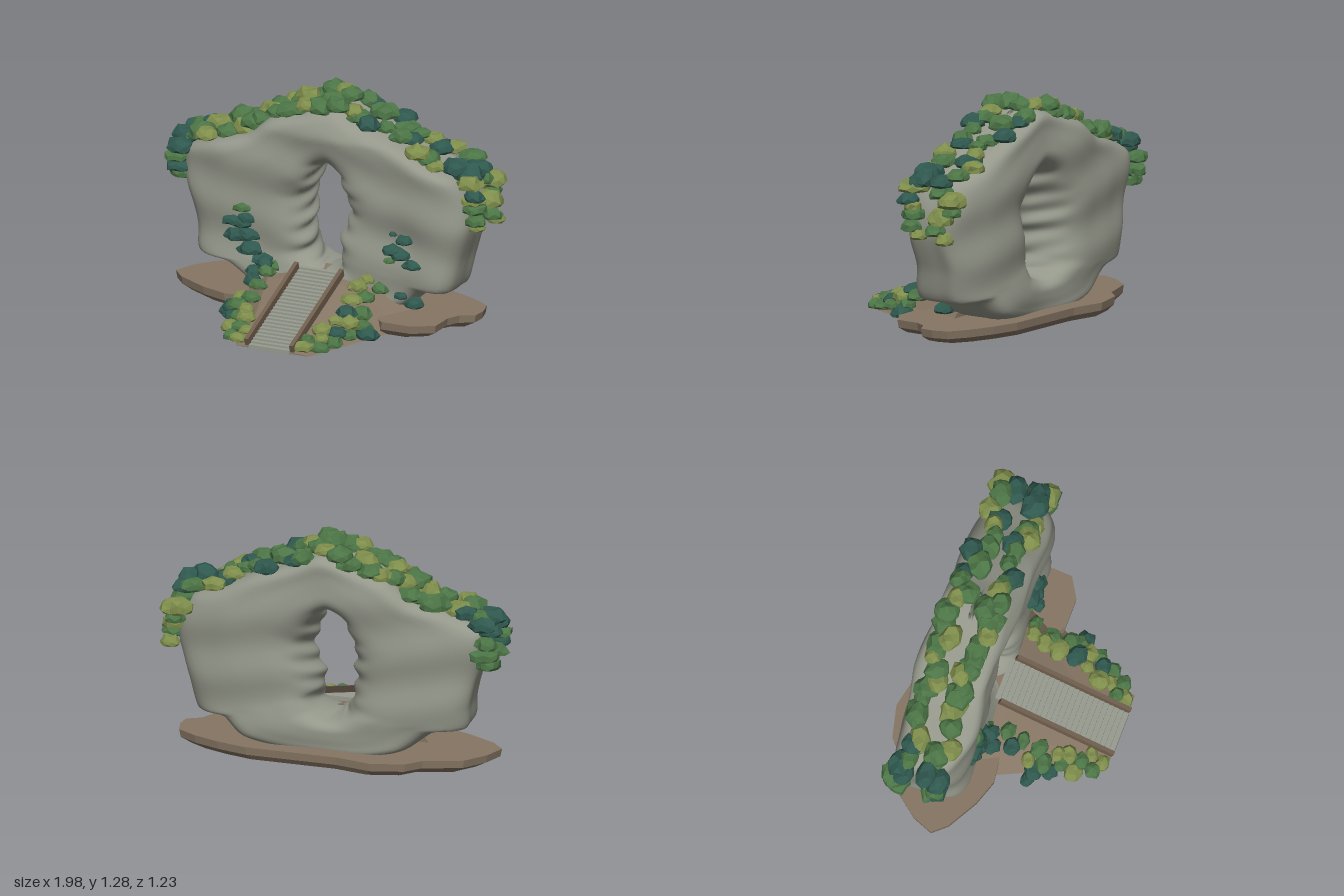
import * as THREE from 'three';
import { mergeGeometries } from 'three/addons/utils/BufferGeometryUtils.js';

const mat = (name, color, flatShading = true) => {
  const m = new THREE.MeshStandardMaterial({ color, flatShading });
  m.name = name;
  return m;
};
let seed = 11;
const rand = (a = 0, b = 1) => {
  seed = (seed * 16807) % 2147483647;
  return a + (b - a) * (seed / 2147483647);
};

// Arch control points, counter-clockwise: outer x, y and hole x, y
const ARCH = [
  [0, 0.04, -0.01, 0.25], [0.25, 0.05, 0.03, 0.265], [0.48, 0.1, 0.07, 0.3], [0.6, 0.2, 0.08, 0.35],
  [0.75, 0.22, 0.065, 0.4], [0.8, 0.4, 0.07, 0.46], [0.86, 0.6, 0.1, 0.53], [0.85, 0.75, 0.12, 0.6],
  [0.78, 0.88, 0.115, 0.66], [0.6, 0.96, 0.09, 0.72], [0.42, 1.05, 0.07, 0.79], [0.2, 1.13, 0.04, 0.84],
  [0.03, 1.2, -0.01, 0.86], [-0.18, 1.14, -0.06, 0.84], [-0.35, 1.09, -0.09, 0.79], [-0.5, 0.98, -0.11, 0.72],
  [-0.72, 0.91, -0.135, 0.66], [-0.88, 0.83, -0.14, 0.6], [-0.89, 0.68, -0.13, 0.53], [-0.84, 0.52, -0.14, 0.46],
  [-0.81, 0.38, -0.12, 0.38], [-0.79, 0.25, -0.12, 0.33], [-0.62, 0.22, -0.09, 0.28], [-0.45, 0.1, -0.06, 0.265],
  [-0.25, 0.05, -0.04, 0.255],
];
// Cross-section of the arch: 0 = hole, 1 = outside, then z
const SECTION = [
  [0.06, -0.12], [0, -0.2], [0.01, -0.3], [0.09, -0.41], [0.22, -0.46], [0.45, -0.475], [0.7, -0.475], [0.92, -0.46],
  [1, -0.4], [1, -0.3], [1, -0.2], [0.98, -0.11], [0.91, -0.06], [0.7, -0.05], [0.45, -0.055], [0.2, -0.07],
];
const outer = new THREE.CatmullRomCurve3(ARCH.map((p) => new THREE.Vector3(p[0], p[1], 0)), true, 'catmullrom', 0.4);
const inner = new THREE.CatmullRomCurve3(ARCH.map((p) => new THREE.Vector3(p[2], p[3], 0)), true, 'catmullrom', 0.5);

function archGeometry() {
  const N = 150, M = 56, pos = [], idx = [];
  const section = new THREE.CatmullRomCurve3(SECTION.map(([t, z]) => new THREE.Vector3(t, z, 0)), true);
  for (let i = 0; i < N; i++) {
    const o = outer.getPoint(i / N), h = inner.getPoint(i / N);
    for (let j = 0; j < M; j++) {
      const s = section.getPoint(j / M);
      const p = h.clone().lerp(o, s.x);
      // ragged edge inside the hole
      p.x += Math.max(0, 1 - s.x * 5) * 0.011 * Math.sin(p.y * 58 + s.y * 14);
      // thinner ends, strata ripples, hollows on the lower front, crest leaning back
      const ax = Math.abs(p.x);
      let z = -0.27 + (s.y + 0.27) * (1 - 0.22 * THREE.MathUtils.smoothstep(ax, 0.55, 0.9));
      z += 0.009 * Math.sin(p.y * 19 + p.x * 4) + 0.01 * Math.sin(p.x * 9 + 1);
      if (s.y > -0.25) {
        z -= Math.max(0, p.y - 1.04) * 0.4;
        z -= 0.03 * Math.exp(-(((ax - 0.5) / 0.18) ** 2)) * THREE.MathUtils.smoothstep(0.75 - p.y, 0, 0.3);
      }
      pos.push(p.x, p.y, z);
      const a = i * M + j, b = ((i + 1) % N) * M + j;
      const c = i * M + ((j + 1) % M), d = ((i + 1) % N) * M + ((j + 1) % M);
      idx.push(a, b, d, a, d, c);
    }
  }
  const g = new THREE.BufferGeometry();
  g.setAttribute('position', new THREE.Float32BufferAttribute(pos, 3));
  g.setIndex(idx);
  g.computeVertexNormals();
  return g;
}

// Joins equal-length rings of points and closes both ends
function loft(rings) {
  const n = rings[0].length, pos = rings.flat(2), idx = [];
  const at = (r, i) => r * n + (i % n);
  for (let r = 0; r < rings.length - 1; r++)
    for (let i = 0; i < n; i++)
      idx.push(at(r, i), at(r, i + 1), at(r + 1, i + 1), at(r, i), at(r + 1, i + 1), at(r + 1, i));
  [0, rings.length - 1].forEach((r) => {
    const c = pos.length / 3;
    for (let k = 0; k < 3; k++) pos.push(rings[r].reduce((s, p) => s + p[k], 0) / n);
    for (let i = 0; i < n; i++) idx.push(c, at(r, r ? i : i + 1), at(r, r ? i + 1 : i));
  });
  const g = new THREE.BufferGeometry();
  g.setAttribute('position', new THREE.Float32BufferAttribute(pos, 3));
  g.setIndex(idx);
  g.computeVertexNormals();
  return g;
}

// Faceted dome-shaped shrub with a flattened underside
function shrub(x, y, z, r) {
  const g = new THREE.IcosahedronGeometry(1, 1), p = g.attributes.position, s = rand(0, 9);
  for (let i = 0; i < p.count; i++) {
    const a = p.getX(i), b = p.getY(i), c = p.getZ(i);
    const k = 1 + 0.16 * Math.sin(5 * a + s) * Math.cos(6 * c + 2 * s) + 0.08 * Math.sin(9 * b + s);
    p.setXYZ(i, a * k, b < -0.2 ? -0.2 + b * 0.2 : b * k, c * k);
  }
  g.scale(r * rand(1, 1.25), r * rand(0.7, 0.9), r * rand(0.85, 1.05));
  g.rotateY(rand(-0.5, 0.5));
  g.translate(x, y, z);
  g.computeVertexNormals();
  return g;
}

export function createModel() {
  const model = new THREE.Group();
  const rock = mat('grey rock', 0x94978a, false), stone = mat('step stone', 0x989b8f);
  const earth = mat('brown earth', 0x857563), wood = mat('brown wood', 0x705e4e);
  const greens = [mat('leaf green', 0x4c7546), mat('olive green', 0x7f8e4c), mat('dark teal green', 0x2f584e)];
  const add = (name, geometry, material, parent = model) => {
    const m = new THREE.Mesh(geometry, material);
    m.name = name;
    parent.add(m);
    return m;
  };

  add('rockArch', archGeometry(), rock);

  // Irregular ground slab with an undercut rim
  const plan = [
    [0.88, -0.29], [0.86, -0.38], [0.75, -0.45], [0.6, -0.51], [0.43, -0.555], [-0.1, -0.57], [-0.31, -0.615],
    [-0.5, -0.57], [-0.58, -0.49], [-0.8, -0.42], [-0.9, -0.3], [-0.95, -0.18], [-0.88, -0.1], [-0.7, 0],
    [-0.55, 0.05], [-0.4, 0.03], [0, 0.03], [0.4, 0.06], [0.44, 0.11], [0.62, 0.11], [0.74, 0.04], [0.75, -0.1],
    [0.79, -0.17], [0.87, -0.21],
  ];
  const slabRing = (y, s) => plan.map(([x, z]) => [x * s, y, (z + 0.25) * s - 0.25]);
  add('groundSlab', loft([slabRing(0.003, 0.92), slabRing(0.035, 0.99), slabRing(0.08, 1)]), earth);

  // Sloping mound that carries the stairs
  const mound = [[-0.2, 0.62, 0.38], [0, 0.5, 0.31], [0.3, 0.36, 0.24], [0.6, 0.22, 0.17]].map(([z, b, t]) => {
    const h = 0.345 * (0.6 - z) + 0.008 - (z < -0.1 ? 0.03 : 0), e = 0.003 + 0.82 * h;
    return [[b, 0.003, z], [t, e, z], [0.14, h, z], [-0.16, h, z], [-t, e, z], [-b, 0.003, z]];
  });
  add('earthMound', loft(mound), earth);

  // Stairs
  const stairs = new THREE.Group();
  stairs.name = 'stairs';
  model.add(stairs);
  const count = 24, depth = 0.7 / count;
  for (let i = 0; i < count; i++) {
    const top = 0.014 + (i + 1) * 0.0102, low = Math.max(0.002, top - 0.03);
    const g = new THREE.BoxGeometry(0.25, top - low, depth);
    g.translate(-0.018, (top + low) / 2, 0.608 - (i + 0.5) * depth);
    add('step', g, stone, stairs);
  }
  add('stairFoot', new THREE.BoxGeometry(0.25, 0.008, 0.5).translate(-0.018, 0.004, 0.358), stone, stairs);

  // Side rails
  [-0.155, 0.12].forEach((x) => {
    const rail = add('sideRail', new THREE.BoxGeometry(0.024, 0.045, 0.71), wood, stairs);
    rail.position.set(x, 0.154, 0.275);
    rail.rotation.x = Math.atan(0.35);
  });

  // Shrubs, gathered by colour
  const leaves = [[], [], []];
  const plant = (x, y, z, r, c) => leaves[c].push(shrub(x, y, z, r));

  // Two rows along the crest, hanging down both ends; digits pick the green
  [[-0.18, '1001212210120020100010001001010022020'], [-0.37, '1010102012100202001001010100012022000']]
    .forEach(([z, colours]) => [...colours].forEach((c, k) => {
      const o = outer.getPoint(THREE.MathUtils.lerp(5.9, 18.3, k / 36) / 25);
      const push = Math.abs(o.x) > 0.7 ? 1.04 : 1;
      plant(o.x * push + rand(-0.02, 0.02), o.y + rand(0.005, 0.035), z + rand(-0.05, 0.05), rand(0.055, 0.08), +c);
    }));

  // Climbers on the front face
  [[-0.5, 0.55, 0.05, 0], [-0.55, 0.47, 0.06, 2], [-0.47, 0.49, 0.05, 2], [-0.5, 0.46, 0.06, 2], [-0.54, 0.38, 0.06, 2],
    [-0.47, 0.39, 0.065, 2], [-0.45, 0.31, 0.07, 2], [-0.37, 0.26, 0.06, 2], [-0.33, 0.23, 0.06, 0], [0.42, 0.53, 0.022, 2],
    [0.49, 0.5, 0.05, 2], [0.42, 0.43, 0.055, 2], [0.47, 0.41, 0.055, 2], [0.54, 0.36, 0.05, 2], [0.4, 0.37, 0.03, 0]]
    .forEach(([x, y, r, c]) => plant(x, y, -0.085, r, c));

  // Borders down both sides of the stairs
  [[0.3, 0.26, -0.02], [0.27, 0.24, 0.05], [0.33, 0.19, 0.08], [0.28, 0.19, 0.14], [0.35, 0.13, 0.18], [0.28, 0.15, 0.22],
    [0.38, 0.08, 0.24], [0.32, 0.11, 0.28], [0.25, 0.12, 0.32], [0.34, 0.06, 0.34], [0.29, 0.08, 0.38], [0.22, 0.09, 0.4],
    [0.29, 0.04, 0.45], [0.23, 0.06, 0.47], [0.18, 0.06, 0.5], [0.24, 0.03, 0.53], [0.18, 0.035, 0.56],
    [0.36, 0.21, -0.03], [0.42, 0.04, 0.22]]
    .forEach(([x, y, z], i) => [1, -1].forEach((side) =>
      plant(side * x - (side < 0 ? 0.035 : 0) + rand(-0.015, 0.015), y, z + rand(-0.02, 0.02), rand(0.04, 0.06),
        +(side > 0 ? '1101020110210100102' : '2020102012011010122')[i])));
  plant(0.53, 0.12, -0.13, 0.055, 2);
  plant(0.48, 0.18, -0.06, 0.035, 2);

  ['greenShrubs', 'oliveShrubs', 'tealShrubs'].forEach((name, i) => add(name, mergeGeometries(leaves[i]), greens[i]));
  return model;
}
